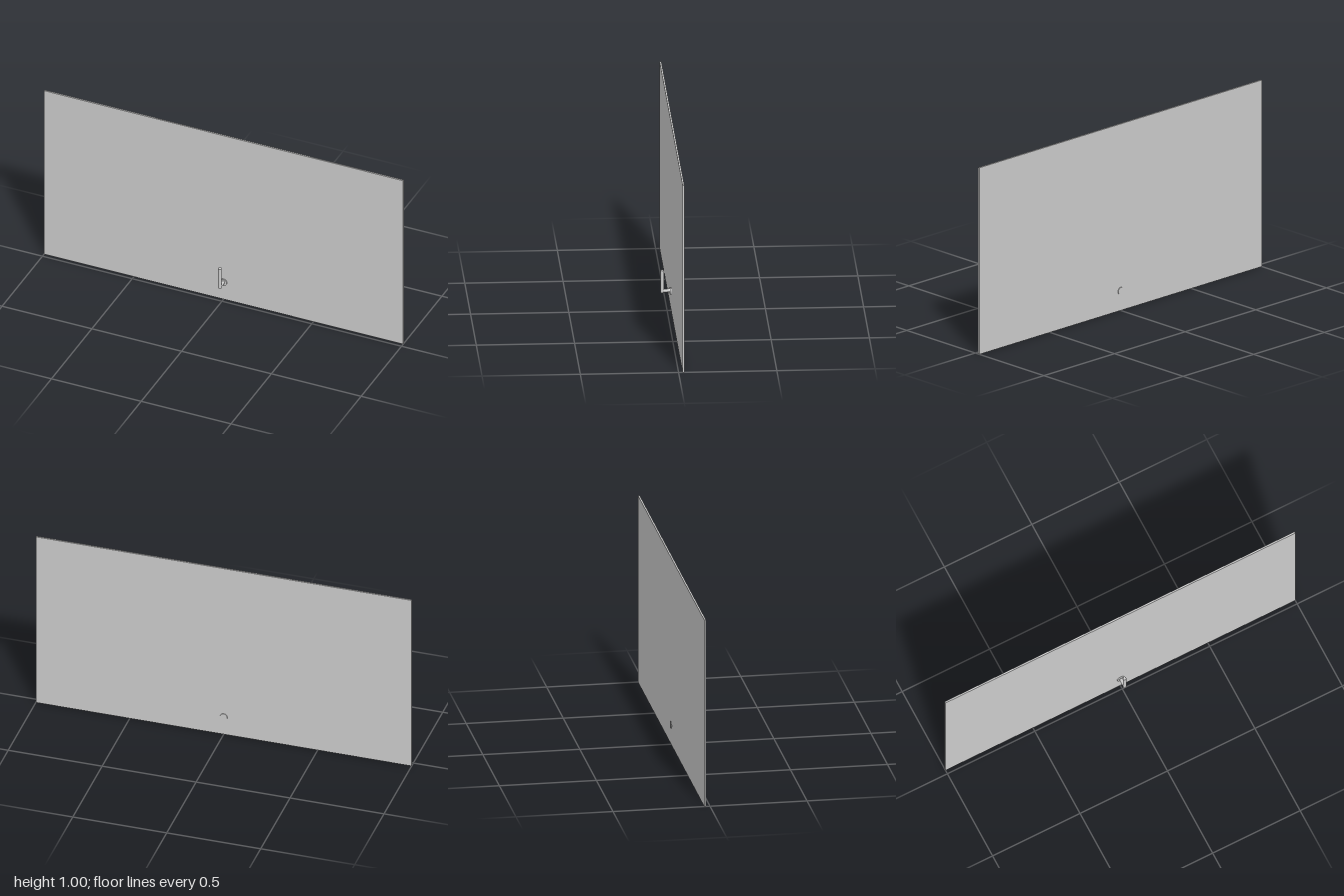
import * as THREE from 'three';

export function createModel() {
  const group = new THREE.Group();
  const material = new THREE.MeshStandardMaterial({ color: 0xcccccc });

  const add = (name, geometry, x, y, z) => {
    const mesh = new THREE.Mesh(geometry, material);
    mesh.name = name;
    mesh.position.set(x, y, z);
    group.add(mesh);
    return mesh;
  };

  // Thin flat panel
  add('panel', new THREE.BoxGeometry(2, 1, 0.009), 0, 0.5, -0.025);

  // Round mounting plate, standing proud of both faces of the panel
  add('handleRose', new THREE.CylinderGeometry(0.0195, 0.0195, 0.019, 32), 0, 0.105, -0.0235)
    .rotation.x = Math.PI / 2;

  // Horizontal stem reaching forward from the plate
  add('handleStem', new THREE.CylinderGeometry(0.009, 0.009, 0.042, 32), 0, 0.107, 0.005)
    .rotation.x = Math.PI / 2;

  // Upright lever at the end of the stem
  add('handleLever', new THREE.CylinderGeometry(0.009, 0.009, 0.118, 32), 0, 0.157, 0.025);

  return group;
}
